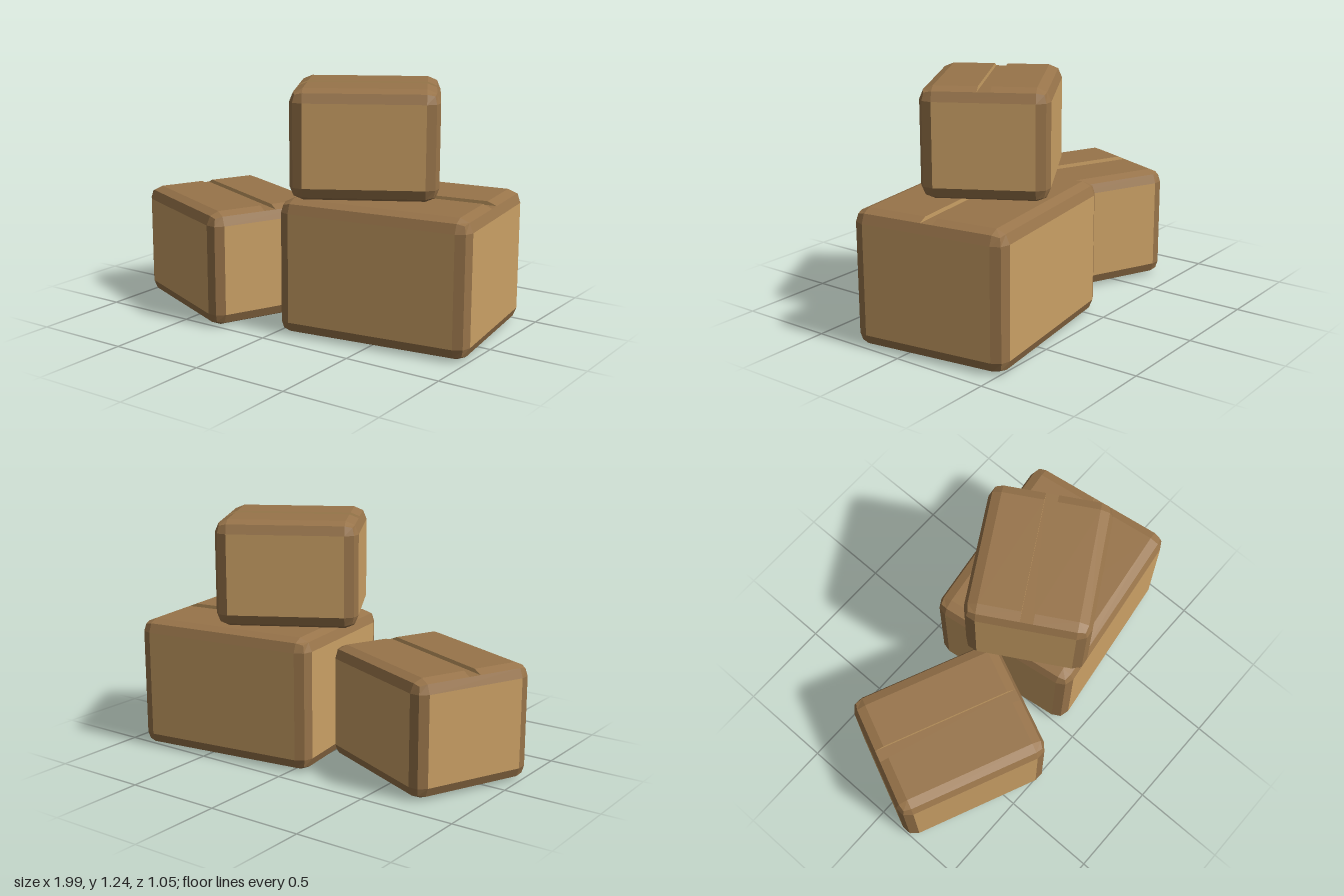
import * as THREE from 'three';
import { RoundedBoxGeometry } from 'three/addons/geometries/RoundedBoxGeometry.js';

const R = 0.066;                       // bevel radius
const DROP = R * (1 - Math.SQRT1_2);   // depth of the bevel's middle ridge
const SEAM = 0.064;                    // width of the lid seam

const cardboard = new THREE.MeshStandardMaterial({ color: 0xcaa065 });
cardboard.name = 'cardboard';
const darkCardboard = new THREE.MeshStandardMaterial({ color: 0x98744a });
darkCardboard.name = 'darkCardboard';

function named(name, geometry, material) {
  const mesh = new THREE.Mesh(geometry, material);
  mesh.name = name;
  return mesh;
}

function facets(positions) {
  const g = new THREE.BufferGeometry();
  g.setAttribute('position', new THREE.Float32BufferAttribute(positions, 3));
  g.computeVertexNormals();
  return g;
}

// A bevelled carton with a sunken seam running along its lid
function carton(name, w, h, d) {
  const group = new THREE.Group();
  group.name = name;

  // Each side is a 3 x 3 grid: the middle cell is the panel, the rest is bevel.
  // The middle row of the lid (side 2) is left open for the two flaps.
  const source = new RoundedBoxGeometry(w, h, d, 1, R).attributes.position.array;
  const panels = [], edges = [];
  for (let q = 0; q < 54; q++) {
    const side = Math.floor(q / 9), cell = q % 9;
    if (side === 2 && cell >= 3 && cell <= 5) continue;
    (cell === 4 ? panels : edges).push(...source.slice(q * 18, q * 18 + 18));
  }
  group.add(named('panels', facets(panels), cardboard));
  group.add(named('bevels', facets(edges), darkCardboard));

  // Lid flaps on both sides of the seam
  const outer = w / 2 - DROP, inner = w / 2 - R, top = h / 2, low = top - DROP;
  const profile = new THREE.Shape([
    new THREE.Vector2(-outer, low), new THREE.Vector2(outer, low),
    new THREE.Vector2(inner, top), new THREE.Vector2(-inner, top),
  ]);
  const depth = d / 2 - R - SEAM / 2;
  for (const z of [SEAM / 2, -SEAM / 2 - depth]) {
    const flap = new THREE.ExtrudeGeometry(profile, { depth, bevelEnabled: false });
    flap.clearGroups();
    flap.addGroup(0, 18, 0);   // seam walls and flat top
    flap.addGroup(18, 18, 1);  // sloping ends
    flap.translate(0, 0, z);
    group.add(named('lidFlap', flap, [cardboard, darkCardboard]));
  }

  // Seam floor
  const floor = new THREE.PlaneGeometry(outer * 2, SEAM).rotateX(-Math.PI / 2);
  floor.translate(0, low, 0);
  group.add(named('lidSeam', floor, darkCardboard));
  return group;
}

export function createModel() {
  const model = new THREE.Group();
  model.name = 'cartonStack';
  // name, width, height, depth, x, base y, z, turn in degrees
  const cartons = [
    ['lowCarton', 0.82, 0.595, 0.673, -0.512, 0, 0.068, -24],
    ['largeCarton', 1.0, 0.688, 0.815, 0.454, 0, -0.068, 8],
    ['topCarton', 0.725, 0.546, 0.62, 0.272, 0.694, -0.016, 30],
  ];
  for (const [name, w, h, d, x, y, z, turn] of cartons) {
    const box = carton(name, w, h, d);
    box.position.set(x, y + h / 2, z);
    box.rotation.y = THREE.MathUtils.degToRad(turn);
    model.add(box);
  }
  return model;
}
